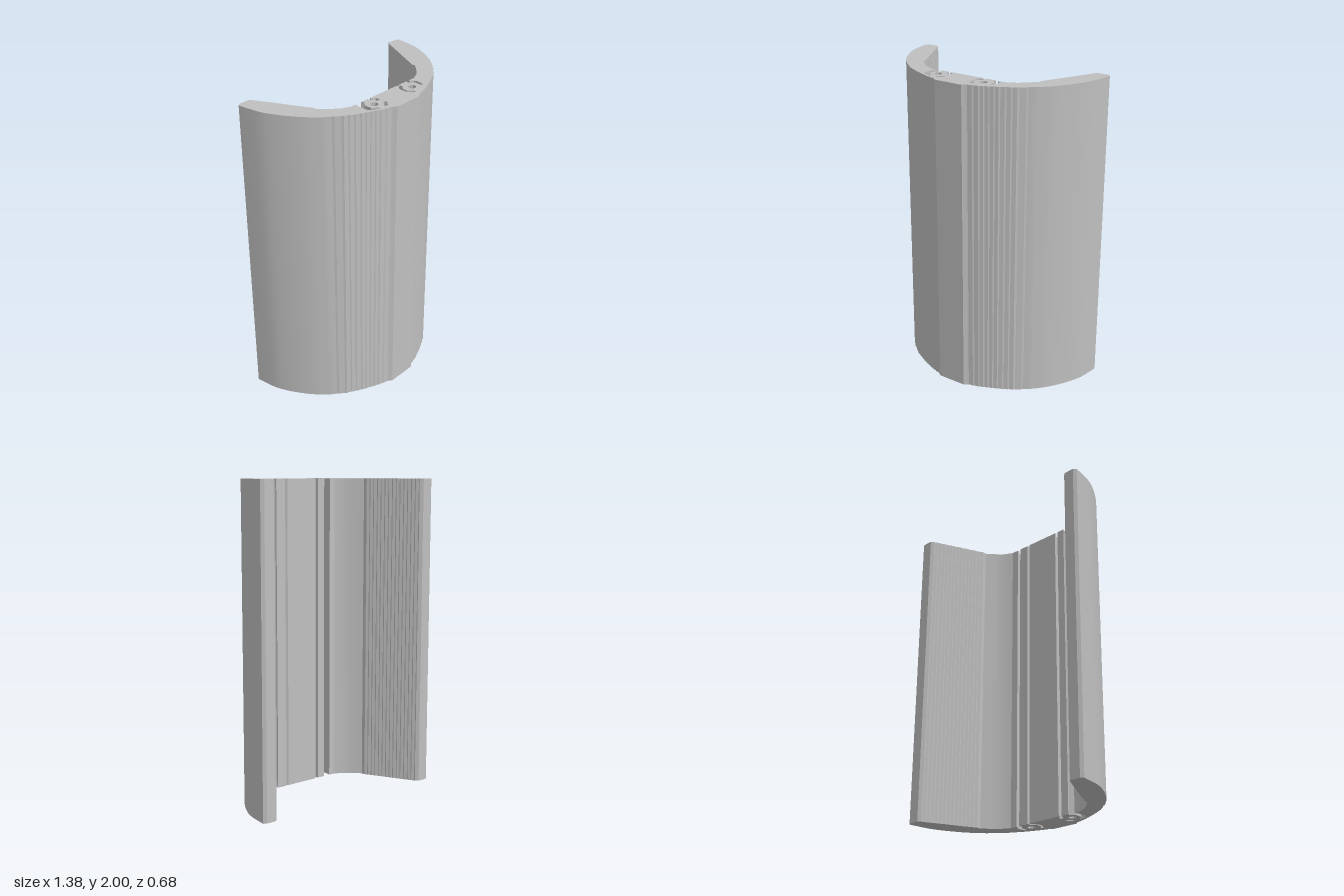
import * as THREE from 'three';
import { toCreasedNormals } from 'three/addons/utils/BufferGeometryUtils.js';

const HEIGHT = 2;
const vectors = (list) => list.map(([x, z]) => new THREE.Vector2(x, z));
const mirror = (points) => points.map((p) => new THREE.Vector2(-p.x, p.y)).reverse();

// Finely ridged line from a to b (end point excluded)
function ridged(a, b, count, depth) {
  const from = new THREE.Vector2(...a), to = new THREE.Vector2(...b);
  const dir = to.clone().sub(from).normalize();
  const normal = new THREE.Vector2(-dir.y, dir.x).multiplyScalar(depth);
  const points = [];
  for (let i = 0; i < count; i++) {
    points.push(from.clone().lerp(to, i / count));
    points.push(from.clone().lerp(to, (i + 0.75) / count).add(normal));
  }
  return points;
}

export function createModel() {
  const grey = new THREE.MeshStandardMaterial({ color: 0xbfbfbf });
  grey.name = 'grey';

  // Smooth, then ridged, outer curve from the tip to the front
  const sweep = new THREE.SplineCurve(vectors([
    [0.689, -0.328], [0.67, -0.195], [0.641, -0.11], [0.593, -0.018], [0.538, 0.063], [0.471, 0.136],
  ])).getPoints(20).slice(0, -1);
  const outer = [
    ...sweep,
    ...ridged([0.471, 0.136], [0.39, 0.203], 2, 0.003),
    ...ridged([0.39, 0.203], [0.298, 0.254], 3, 0.003),
    ...ridged([0.298, 0.254], [0.188, 0.302], 4, 0.003),
    ...ridged([0.188, 0.302], [0.114, 0.324], 2, 0.003),
    ...vectors([[0.114, 0.324], [0.096, 0.339]]),
  ];

  // Inner side of one wing, from the flat centre to the tip
  const wing = [
    ...vectors([[0.276, 0.147], [0.335, 0.118], [0.383, 0.074], [0.427, 0.026]]),
    ...ridged([0.427, 0], [0.586, -0.324], 14, 0.003),
    ...vectors([[0.586, -0.324], [0.604, -0.342], [0.67, -0.342]]),
  ];

  // Curved slots that open into the flat inner face
  const slots = vectors([
    [-0.236, 0.147], [-0.236, 0.155], [-0.243, 0.173], [-0.243, 0.247], [-0.214, 0.276], [-0.173, 0.284],
    [-0.18, 0.269], [-0.21, 0.243], [-0.21, 0.195], [-0.18, 0.166], [-0.188, 0.147],
    [-0.136, 0.147], [-0.133, 0.166], [-0.11, 0.203], [-0.092, 0.203], [-0.092, 0.173], [-0.118, 0.158], [-0.114, 0.147],
    [0.118, 0.147], [0.129, 0.158], [0.107, 0.17], [0.092, 0.2], [0.092, 0.24], [0.107, 0.276], [0.133, 0.284],
    [0.133, 0.265], [0.107, 0.24], [0.107, 0.205], [0.136, 0.177], [0.136, 0.147],
    [0.206, 0.147], [0.199, 0.166], [0.228, 0.199], [0.225, 0.243], [0.243, 0.246],
    [0.25, 0.203], [0.247, 0.17], [0.225, 0.158], [0.228, 0.147],
  ]);

  const profile = new THREE.Shape([...outer, ...mirror(outer), ...mirror(wing), ...slots, ...wing]);

  // Faceted bores and one closed slot
  for (const x of [-0.162, 0.168]) {
    const bore = [];
    for (let i = 0; i < 8; i++) {
      const a = ((i + 0.5) / 8) * Math.PI * 2;
      bore.push(new THREE.Vector2(x + 0.026 * Math.cos(a), 0.221 + 0.026 * Math.sin(a)));
    }
    profile.holes.push(new THREE.Path(bore));
  }
  profile.holes.push(new THREE.Path(vectors([
    [-0.14, 0.284], [-0.114, 0.284], [-0.088, 0.254], [-0.092, 0.239], [-0.114, 0.247], [-0.125, 0.262],
  ])));

  // Upright extrusion
  let geometry = new THREE.ExtrudeGeometry(profile, { depth: HEIGHT, bevelEnabled: false });
  geometry.rotateX(Math.PI / 2);
  geometry.translate(0, HEIGHT, 0);
  geometry = toCreasedNormals(geometry, 0.3);
  geometry.clearGroups();

  const body = new THREE.Mesh(geometry, grey);
  body.name = 'curvedShell';
  const model = new THREE.Group();
  model.name = 'curvedChannel';
  model.add(body);
  return model;
}
